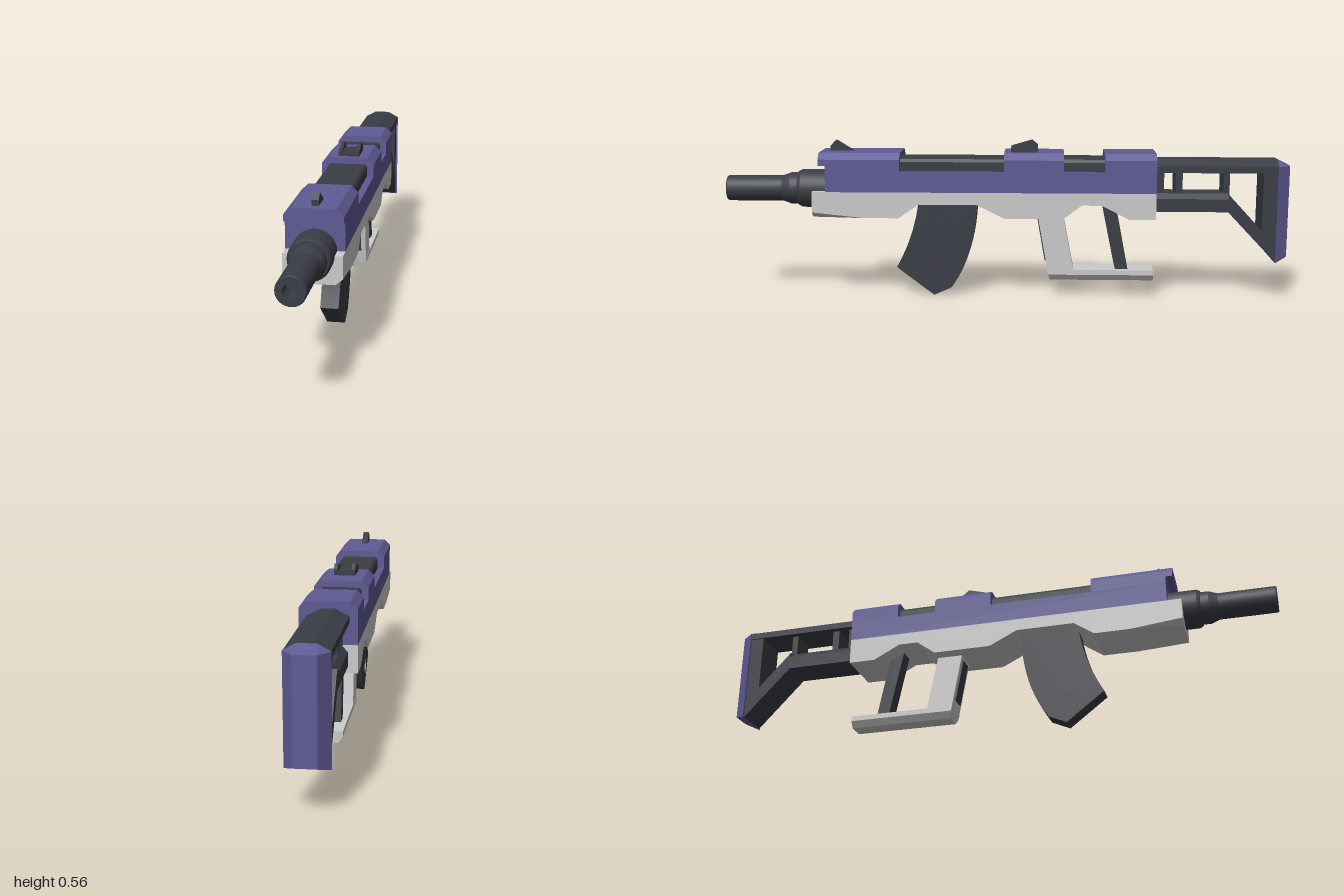
import * as THREE from 'three';
import { ConvexGeometry } from 'three/addons/geometries/ConvexGeometry.js';

const material = (color) => new THREE.MeshStandardMaterial({ color, flatShading: true });
const purple = material(0x5f5a94);
const dark = material(0x3a3d45);
const grey = material(0xcccccc);
const steel = new THREE.MeshStandardMaterial({ color: 0x3a3d45 });

const toShape = (pts) => new THREE.Shape(pts.map(([a, b]) => new THREE.Vector2(a, b)));

export function createModel() {
  const model = new THREE.Group();

  function add(name, geometry, mat) {
    const mesh = new THREE.Mesh(geometry, mat);
    mesh.name = name;
    model.add(mesh);
    return mesh;
  }

  // Side profile in (z, y), extruded across x and centred at x
  function side(name, shape, width, mat, x = 0) {
    const s = Array.isArray(shape) ? toShape(shape) : shape;
    const g = new THREE.ExtrudeGeometry(s, { depth: width, bevelEnabled: false });
    g.translate(0, 0, -width / 2).rotateY(-Math.PI / 2).translate(x, 0, 0);
    return add(name, g, mat);
  }

  // Right half of a cross-section in (x, y), bottom to top, mirrored and run along z
  function section(name, half, z0, z1, mat) {
    const pts = [...half, ...half.map(([x, y]) => [-x, y]).reverse()];
    const g = new THREE.ExtrudeGeometry(toShape(pts), { depth: z1 - z0, bevelEnabled: false });
    return add(name, g.translate(0, 0, z0), mat);
  }

  // Convex solid from points mirrored in x
  function hull(name, pts, mat) {
    const v = pts.flatMap(([x, y, z]) => [new THREE.Vector3(x, y, z), new THREE.Vector3(-x, y, z)]);
    return add(name, new ConvexGeometry(v), mat);
  }

  // Lower body with its underside cut-outs, and the chamfered nose
  side('lowerBody', [
    [0.375, 0.385], [0.375, 0.293], [0.305, 0.342], [0.1, 0.342], [0.0, 0.293], [-0.205, 0.293],
    [-0.27, 0.342], [-0.34, 0.342], [-0.435, 0.293], [-0.53, 0.293], [-0.53, 0.385],
  ], 0.186, grey);
  hull('lowerNose', [
    [0.093, 0.385, 0.375], [0.093, 0.293, 0.375], [0.093, 0.293, 0.5],
    [0.093, 0.385, 0.682], [0.093, 0.312, 0.682], [0.07, 0.293, 0.682],
  ], grey);

  // Upper body, its raised blocks and the rail that shows between them
  section('upperBody', [[0.093, 0.385], [0.093, 0.457]], -0.53, 0.633, purple);
  const block = (y) => [[0.093, y], [0.093, 0.5], [0.07, 0.522]];
  section('frontBlockNeck', [[0.093, 0.457], [0.093, 0.478]], 0.37, 0.633, purple);
  section('frontBlock', block(0.478), 0.37, 0.657, purple);
  section('middleBlock', block(0.457), -0.207, 0.003, purple);
  section('rearBlock', block(0.457), -0.53, -0.35, purple);
  section('topRail', [[0.069, 0.457], [0.069, 0.49], [0.062, 0.5]], -0.35, 0.37, dark);

  // Barrel with collar, taper and bore
  const barrel = [
    [0, 0.6], [0.068, 0.6], [0.068, 0.73], [0.062, 0.742], [0.057, 0.742], [0.057, 0.77],
    [0.046, 0.8], [0.046, 0.995], [0.043, 1], [0.024, 1], [0.024, 0.94], [0, 0.94],
  ];
  // Each straight run is its own lathe, which keeps the rings sharp
  for (let i = 0; i < barrel.length - 1; i++) {
    const run = [barrel[i], barrel[i + 1]].map(([r, z]) => new THREE.Vector2(r, z));
    const g = new THREE.LatheGeometry(run, 32).rotateX(Math.PI / 2).translate(0, 0.385, 0);
    add('barrel', g, steel);
  }

  // Curved magazine: recessed core inside an outer shell with side grooves
  const magazine = toShape([
    [0.307, 0.35], [0.307, 0.3], [0.303, 0.26], [0.34, 0.19], [0.39, 0.1],
  ].filter((p, i) => i < 2));
  magazine.quadraticCurveTo(0.342, 0.0, 0.342, 0.0);
  magazine.curves.length = 0;
  const outline = new THREE.Shape();
  outline.moveTo(0.31, 0.35);
  outline.quadraticCurveTo(0.325, 0.22, 0.392, 0.102);
  outline.lineTo(0.258, 0);
  outline.lineTo(0.195, 0.028);
  outline.quadraticCurveTo(0.105, 0.15, 0.1, 0.35);
  outline.closePath();
  side('magazineCore', outline.clone(), 0.044, dark);
  const groove = new THREE.Path();
  groove.moveTo(0.235, 0.335);
  groove.quadraticCurveTo(0.242, 0.19, 0.315, 0.075);
  groove.lineTo(0.28, 0.05);
  groove.quadraticCurveTo(0.19, 0.19, 0.185, 0.335);
  groove.closePath();
  outline.holes.push(groove);
  side('magazineShell', outline, 0.062, dark);

  // Grip with a dark front panel, lower guard and rear strut
  side('grip', [[-0.115, 0.3], [-0.152, 0.095], [-0.245, 0.095], [-0.205, 0.3]], 0.09, grey);
  side('gripPanel', [[-0.115, 0.28], [-0.141, 0.13], [-0.16, 0.13], [-0.13, 0.28]], 0.056, dark);
  hull('lowerGuard', [
    [0.046, 0.1, -0.15], [0.046, 0.082, -0.154], [0.03, 0.06, -0.16],
    [0.046, 0.1, -0.53], [0.046, 0.082, -0.53], [0.03, 0.06, -0.53],
  ], grey);
  side('rearStrut', [[-0.342, 0.35], [-0.395, 0.095], [-0.44, 0.095], [-0.39, 0.35]], 0.056, dark);

  // Stock: upper and lower bars, struts, and the braced end frame
  section('stockUpperBar', [[0.067, 0.455], [0.067, 0.478], [0.05, 0.485], [0.022, 0.5]], -0.955, -0.53, dark);
  section('stockLowerBar', [[0.062, 0.316], [0.062, 0.362], [0.045, 0.38]], -0.79, -0.53, dark);
  for (const [a, b] of [[-0.56, -0.53], [-0.625, -0.6], [-0.79, -0.768]]) {
    section('stockStrut', [[0.045, 0.375], [0.045, 0.46]], a, b, dark);
  }
  side('stockBrace', [
    [-0.785, 0.38], [-0.785, 0.316], [-0.955, 0.137], [-0.955, 0.47], [-0.905, 0.47], [-0.905, 0.25],
  ], 0.124, dark);

  // Butt plate with chamfered back and top
  hull('buttPlate', [
    [0.069, 0.135, -0.955], [0.069, 0.478, -0.955], [0.03, 0.5, -0.955],
    [0.035, 0.152, -1], [0.035, 0.478, -1],
  ], purple);

  // Sights
  side('frontSight', [[0.625, 0.52], [0.625, 0.54], [0.605, 0.56], [0.54, 0.52]], 0.022, dark);
  side('rearSightBase', [[-0.02, 0.52], [-0.02, 0.536], [-0.115, 0.536], [-0.115, 0.52]], 0.074, dark);
  for (const s of [-1, 1]) {
    side('rearSightPost', [
      [-0.02, 0.53], [-0.02, 0.538], [-0.095, 0.56], [-0.115, 0.542], [-0.115, 0.53],
    ], 0.013, dark, s * 0.0305);
  }

  return model;
}
